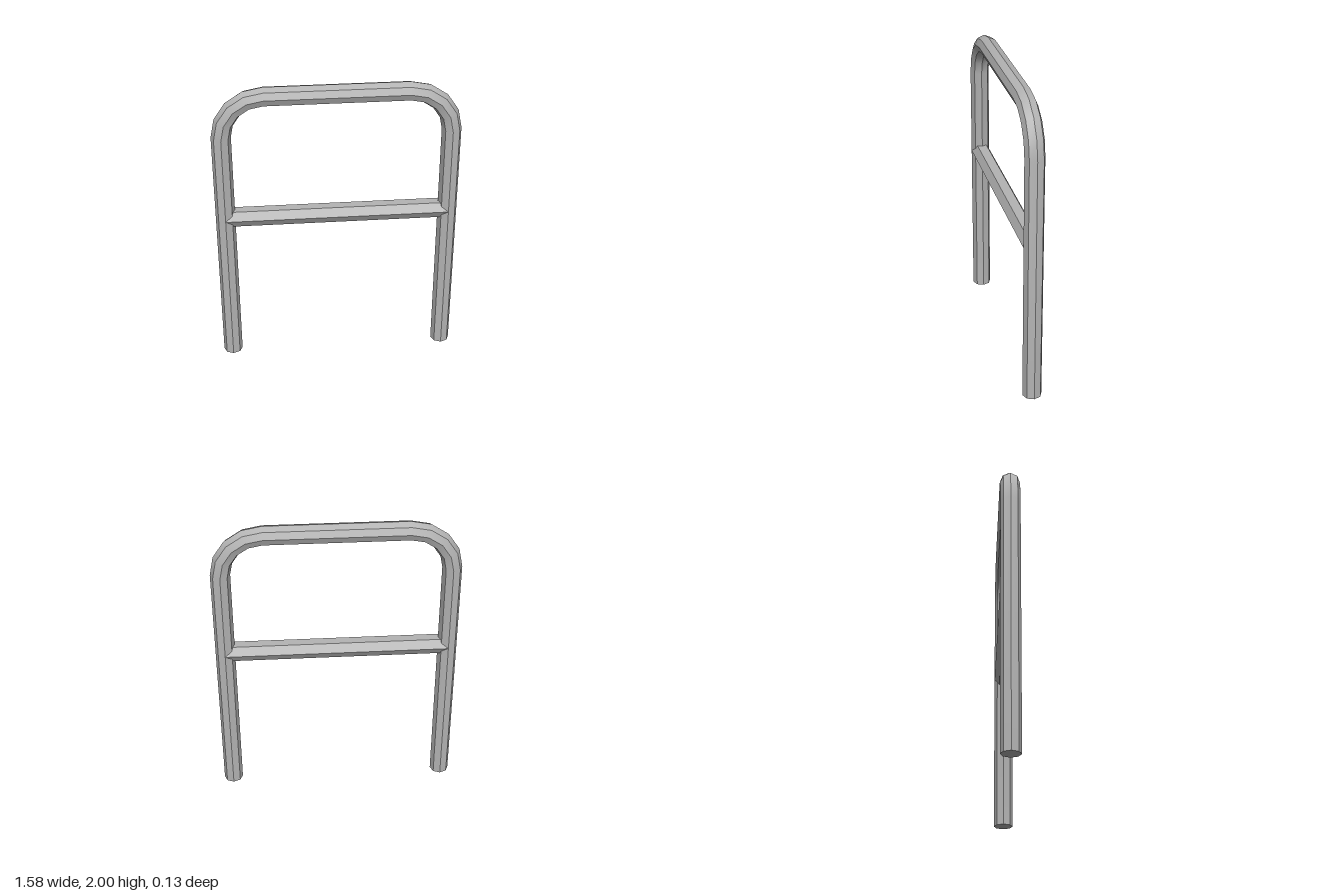
import * as THREE from 'three';
import { toCreasedNormals } from 'three/addons/utils/BufferGeometryUtils.js';

const HALF_WIDTH = 0.725;   // centre line of each leg
const TUBE_R = 0.063;
const BEND_R = 0.27;
const HEIGHT = 2;
const SIDES = 8;
const BEND_STEPS = 4;
const RAIL_Y = 1.078;

// Eight-sided tube swept up one leg, round both bends and down the other leg
function hoopGeometry() {
  const cx = HALF_WIDTH - BEND_R;
  const cy = HEIGHT - TUBE_R - BEND_R;
  const stations = [[HALF_WIDTH, 0, 0]]; // x, y, angle of the outward direction
  for (const side of [1, -1]) {
    for (let i = 0; i <= BEND_STEPS; i++) {
      const phi = (i / BEND_STEPS + (side < 0 ? 1 : 0)) * Math.PI / 2;
      stations.push([side * cx + BEND_R * Math.cos(phi), cy + BEND_R * Math.sin(phi), phi]);
    }
  }
  stations.push([-HALF_WIDTH, 0, Math.PI]);

  const positions = [], index = [];
  for (const [x, y, phi] of stations) {
    for (let j = 0; j < SIDES; j++) {
      const a = j / SIDES * Math.PI * 2;
      const out = TUBE_R * Math.cos(a);
      positions.push(x + out * Math.cos(phi), y + out * Math.sin(phi), TUBE_R * Math.sin(a));
    }
  }
  for (let i = 0; i < stations.length - 1; i++) {
    for (let j = 0; j < SIDES; j++) {
      const a = i * SIDES + j, b = i * SIDES + (j + 1) % SIDES;
      index.push(a, a + SIDES, b, b, a + SIDES, b + SIDES);
    }
  }
  // Flat caps under the feet
  const last = (stations.length - 1) * SIDES;
  for (let j = 1; j < SIDES - 1; j++) {
    index.push(0, j, j + 1, last, last + j + 1, last + j);
  }

  const geometry = new THREE.BufferGeometry();
  geometry.setAttribute('position', new THREE.Float32BufferAttribute(positions, 3));
  geometry.setIndex(index);
  // Smooth along the bends, sharp between the sides of the tube
  return toCreasedNormals(geometry, Math.PI / 6);
}

export function createModel() {
  const group = new THREE.Group();
  group.name = 'hoopBarrier';

  const steel = new THREE.MeshStandardMaterial({ color: 0xb4b4b4 });
  steel.name = 'grey steel';

  const hoop = new THREE.Mesh(hoopGeometry(), steel);
  hoop.name = 'hoopFrame';
  group.add(hoop);

  // Six-sided crossbar with edges at the front and back
  const bar = new THREE.CylinderGeometry(TUBE_R, TUBE_R, HALF_WIDTH * 2, 6);
  bar.rotateZ(Math.PI / 2);
  const crossbar = new THREE.Mesh(toCreasedNormals(bar, Math.PI / 6), steel);
  crossbar.name = 'crossbar';
  crossbar.position.y = RAIL_Y;
  group.add(crossbar);

  return group;
}
